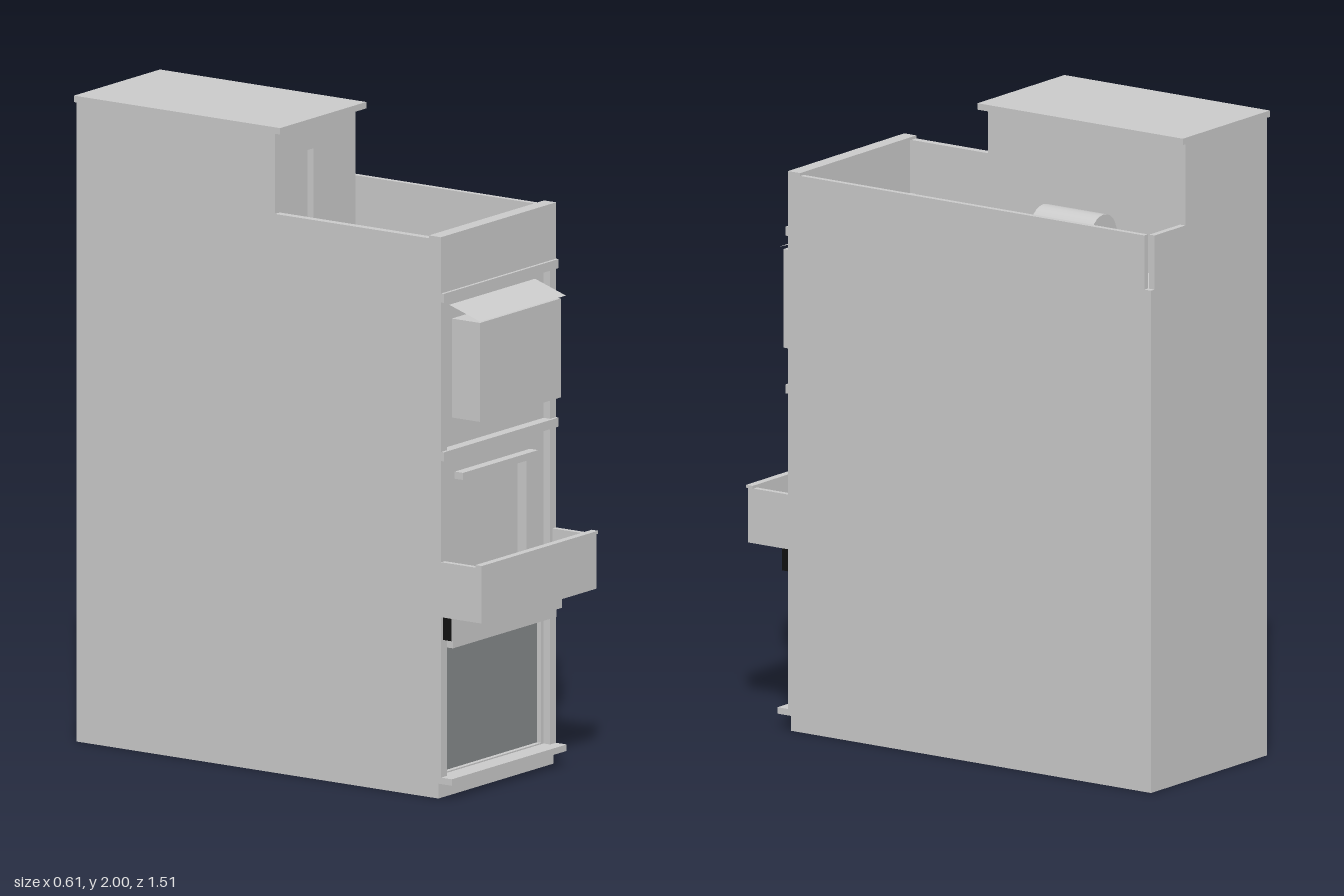
import * as THREE from 'three';

const grey = new THREE.MeshStandardMaterial({ color: 0xcccccc, side: THREE.DoubleSide, flatShading: true });
const smooth = new THREE.MeshStandardMaterial({ color: 0xcccccc });
const shutterMat = new THREE.MeshStandardMaterial({ color: 0x878a8c, side: THREE.DoubleSide });
const darkMat = new THREE.MeshStandardMaterial({ color: 0x111111 });

// Box given by its limits on each axis
function box(parent, name, x0, x1, y0, y1, z0, z1, mat = grey) {
  const m = new THREE.Mesh(new THREE.BoxGeometry(x1 - x0, y1 - y0, z1 - z0), mat);
  m.position.set((x0 + x1) / 2, (y0 + y1) / 2, (z0 + z1) / 2);
  m.name = name;
  parent.add(m);
  return m;
}

function rectangle(path, [x0, x1, y0, y1]) {
  path.moveTo(x0, y0).lineTo(x1, y0).lineTo(x1, y1).lineTo(x0, y1).closePath();
  return path;
}

// Wall facing +z with one rectangular opening
function wallWithOpening(parent, name, outer, opening, z0, z1) {
  const shape = rectangle(new THREE.Shape(), outer);
  shape.holes.push(rectangle(new THREE.Path(), opening));
  const m = new THREE.Mesh(new THREE.ExtrudeGeometry(shape, { depth: z1 - z0, bevelEnabled: false }), grey);
  m.position.z = z0;
  m.name = name;
  parent.add(m);
}

function group(parent, name) {
  const g = new THREE.Group();
  g.name = name;
  parent.add(g);
  return g;
}

const L = -0.295, R = 0.298, BACK = -0.755, FRONT = 0.6, FLOOR = 1.56, TOP = 1.728;

export function createModel() {
  const model = new THREE.Group();
  model.name = 'townHouse';

  // Main shell, open underneath
  const shell = group(model, 'shell');
  box(shell, 'sideWallRight', L, L + 0.008, 0, FLOOR, BACK, 0.59);
  box(shell, 'sideWallLeft', R - 0.008, R, 0, FLOOR, BACK, 0.59);
  box(shell, 'backWall', L, R, 0, FLOOR, BACK, BACK + 0.008);
  box(shell, 'roofDeck', L, R, FLOOR - 0.01, FLOOR, BACK, 0.59);

  // Parapet around the terrace, with an open notch at the rear corner
  const parapet = group(model, 'parapet');
  box(parapet, 'parapetFront', L, R, FLOOR, TOP, 0.56, FRONT);
  box(parapet, 'parapetCap', L - 0.001, R + 0.001, TOP, TOP + 0.009, 0.555, FRONT);
  box(parapet, 'parapetRight', L, -0.27, FLOOR, TOP, -0.02, 0.56);
  box(parapet, 'parapetLeft', 0.28, R, FLOOR, TOP, -0.73, 0.56);
  box(parapet, 'parapetBack', 0.12, 0.28, FLOOR, TOP, BACK, -0.735);

  // Stair house on the roof
  const stair = group(model, 'stairHouse');
  box(stair, 'stairHouseRightWall', L, L + 0.02, FLOOR, 1.98, BACK, -0.05);
  box(stair, 'stairHouseLeftWall', 0.1, 0.122, FLOOR, 1.98, BACK, -0.05);
  box(stair, 'stairHouseBackWall', L, 0.122, FLOOR, 1.98, BACK, BACK + 0.02);
  wallWithOpening(stair, 'stairHouseFrontWall', [L, 0.122, FLOOR, 1.98], [-0.23, -0.097, FLOOR + 0.005, 1.895], -0.05, -0.018);
  box(stair, 'stairHouseDoor', -0.23, -0.097, FLOOR, 1.895, -0.05, -0.04);
  box(stair, 'stairHouseRoof', -0.31, 0.135, 1.98, 2, BACK, 0.012);

  // Water tank lying on the terrace
  const tank = new THREE.Mesh(new THREE.CylinderGeometry(0.068, 0.068, 0.225, 24), smooth);
  tank.rotation.x = Math.PI / 2;
  tank.position.set(0.212, 1.677, -0.402);
  tank.name = 'waterTank';
  model.add(tank);

  // Facade: plinth, side piers and floor bands
  const facade = group(model, 'facade');
  box(facade, 'plinth', L, R, 0, 0.046, 0.55, 0.59);
  box(facade, 'doorSill', L, R, 0.046, 0.066, 0.55, 0.64);
  box(facade, 'pierRight', L, -0.265, 0.066, 1.535, 0.54, FRONT);
  box(facade, 'pierLeft', 0.268, R, 0.066, 1.535, 0.54, FRONT);
  for (const [y0, y1] of [[1.045, 1.073], [1.535, 1.563]])
    box(facade, 'floorBand', L, R, y0, y1, 0.54, 0.61);

  // Ground floor shutter with frame and header
  wallWithOpening(facade, 'shutterFrame', [-0.265, 0.268, 0.066, 0.56], [-0.255, 0.256, 0.07, 0.465], 0.55, 0.575);
  box(facade, 'shutter', -0.257, 0.258, 0.066, 0.467, 0.553, 0.56, shutterMat);
  box(facade, 'shutterHeader', -0.265, 0.27, 0.463, 0.49, 0.56, 0.622);
  box(facade, 'fasciaBoard', -0.283, 0.285, 0.49, 0.562, 0.57, 0.632);
  for (const x of [-0.2845, 0.2855])
    box(facade, 'fasciaEnd', x - 0.001, x + 0.001, 0.49, 0.56, 0.6, 0.631, darkMat);

  // First floor wall with balcony door
  wallWithOpening(facade, 'firstFloorWall', [-0.265, 0.268, 0.56, 1.045], [-0.175, 0.18, 0.58, 0.97], 0.54, 0.575);
  box(facade, 'balconyDoor', -0.177, 0.182, 0.575, 0.972, 0.535, 0.542);
  box(facade, 'doorLintel', -0.19, 0.198, 0.968, 0.99, 0.57, 0.606);

  // Balcony
  const balcony = group(model, 'balcony');
  box(balcony, 'balconyFloor', L, R, 0.575, 0.585, 0.57, 0.745);
  box(balcony, 'balconyFront', L, R, 0.562, 0.732, 0.732, 0.75);
  box(balcony, 'balconyRail', L - 0.004, R + 0.004, 0.732, 0.741, 0.73, 0.754);
  box(balcony, 'balconyRightSide', L, -0.276, 0.562, 0.732, 0.6, 0.735);
  box(balcony, 'balconyLeftSide', 0.28, R, 0.562, 0.732, 0.6, 0.735);

  // Second floor wall, bay window and its thin sloping awning
  box(facade, 'secondFloorWall', -0.265, 0.268, 1.073, 1.535, 0.565, 0.575);
  box(facade, 'bayWindow', -0.205, 0.212, 1.16, 1.466, 0.57, 0.68);
  const run = 0.115, drop = 0.037;
  const awning = new THREE.Mesh(new THREE.PlaneGeometry(0.443, Math.hypot(run, drop)), grey);
  awning.rotation.x = -Math.atan2(run, drop);
  awning.position.set(0.003, 1.4925, 0.575 + run / 2);
  awning.name = 'bayAwning';
  model.add(awning);

  return model;
}
